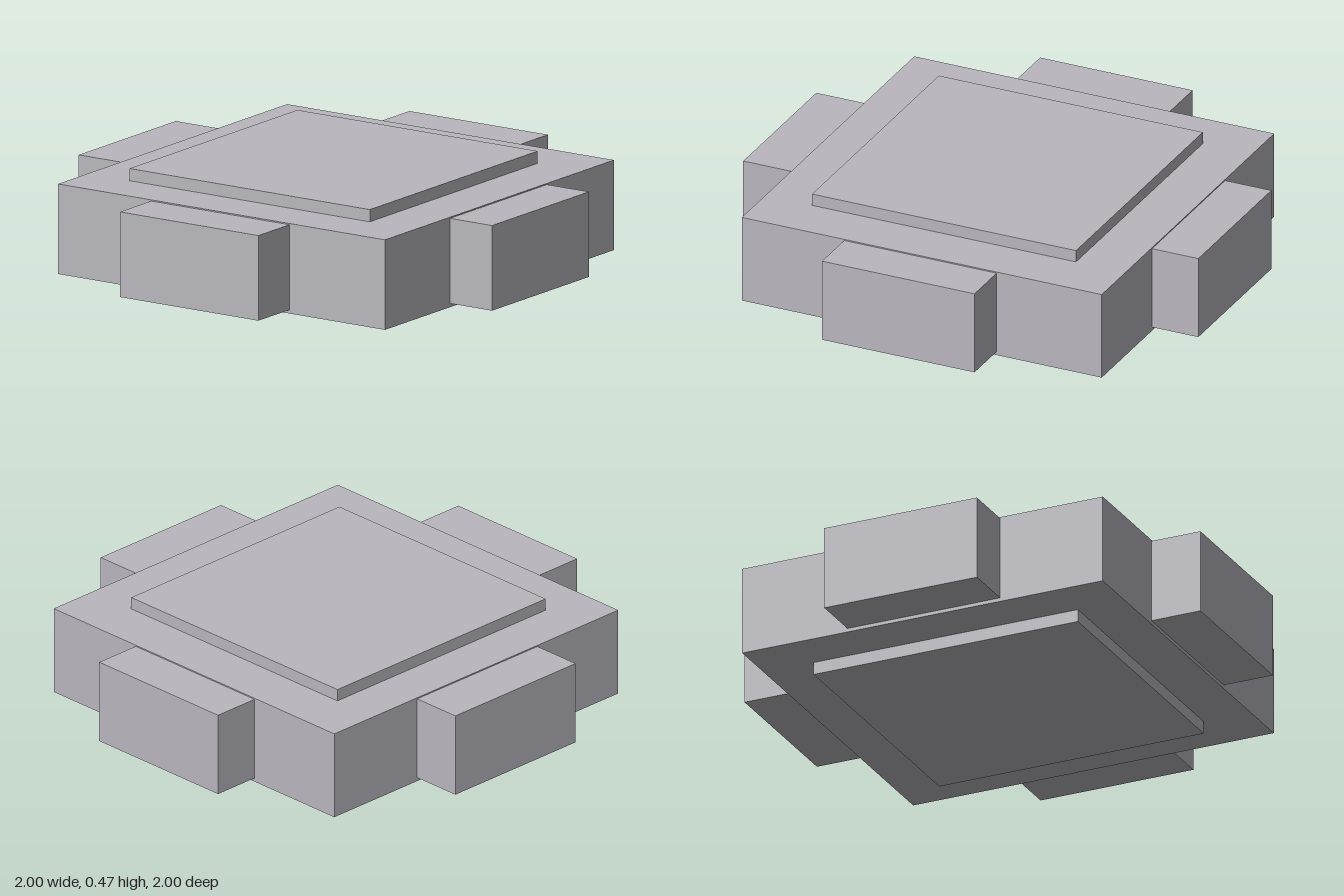
import * as THREE from 'three';

export function createModel() {
  const model = new THREE.Group();
  model.name = 'steppedBlock';
  const grey = new THREE.MeshStandardMaterial({ color: 0xb9b7be });
  grey.name = 'paleGrey';

  // Box given by its lowest and highest corners
  function block(name, [x0, y0, z0], [x1, y1, z1], parent = model) {
    const mesh = new THREE.Mesh(new THREE.BoxGeometry(x1 - x0, y1 - y0, z1 - z0), grey);
    mesh.position.set((x0 + x1) / 2, (y0 + y1) / 2, (z0 + z1) / 2);
    mesh.name = name;
    parent.add(mesh);
  }

  // Main slab, slightly off centre
  block('body', [-0.785, 0.052, -0.785], [0.797, 0.42, 0.797]);

  // Raised square plates above and below
  block('topPlate', [-0.58, 0.4, -0.583], [0.58, 0.47, 0.58]);
  block('bottomPlate', [-0.58, 0, -0.583], [0.58, 0.07, 0.58]);

  // One protruding block on each side
  ['frontBlock', 'leftBlock', 'backBlock', 'rightBlock'].forEach((name, i) => {
    const side = new THREE.Group();
    side.name = name + 'Side';
    side.rotation.y = i * Math.PI / 2;
    block(name, [-0.335, 0.067, 0.7], [0.335, 0.415, 1], side);
    model.add(side);
  });

  return model;
}
